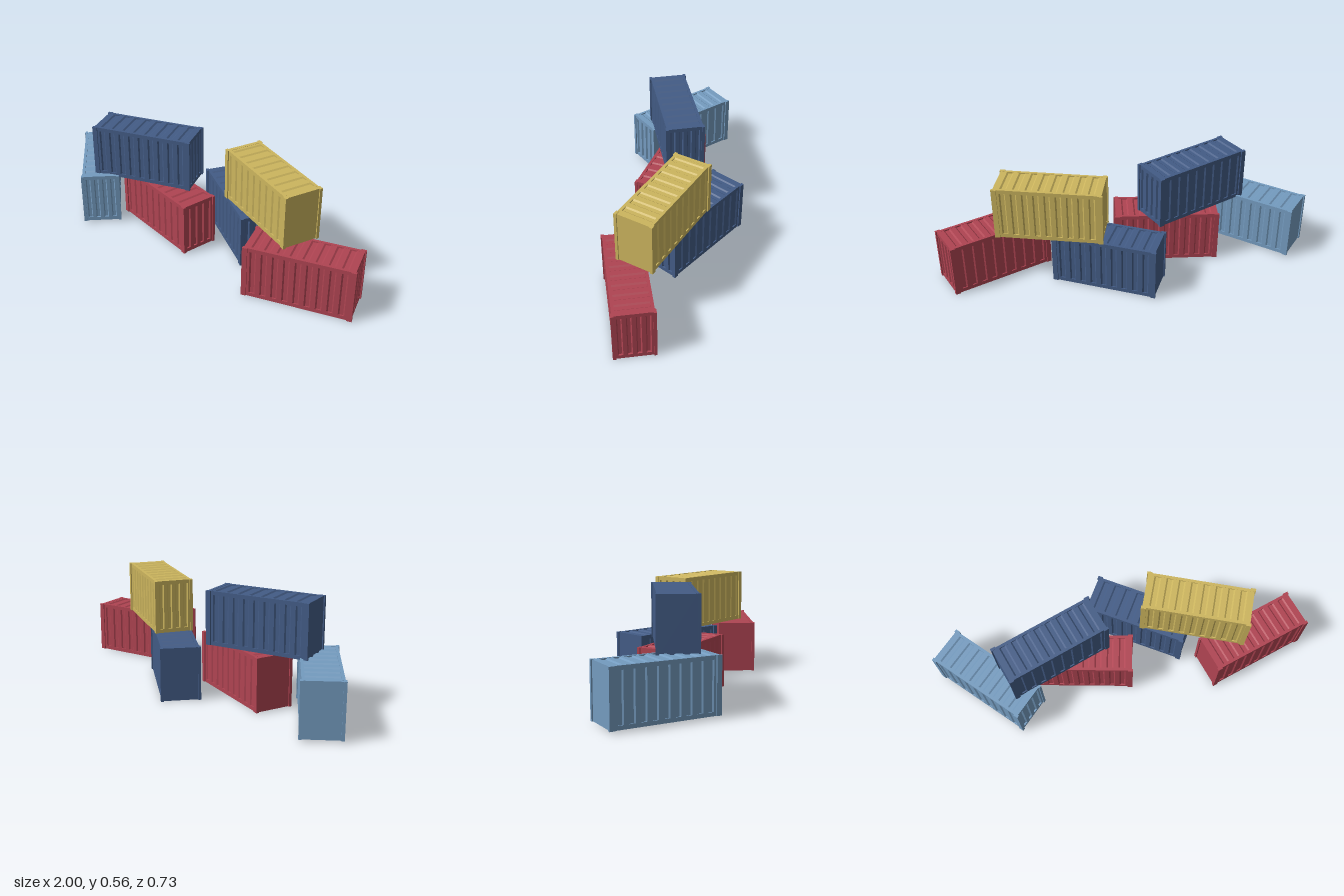
import * as THREE from 'three';

const L = 0.556, W = 0.206, H = 0.28; // overall container size
const EAR = 0.006;                    // how far corner posts stand proud
const RAIL = 0.02, POST_X = 0.026, POST_Z = 0.015;

const colours = {
  red: new THREE.MeshStandardMaterial({ name: 'red paint', color: 0xaf4452 }),
  navy: new THREE.MeshStandardMaterial({ name: 'navy paint', color: 0x435c86 }),
  sky: new THREE.MeshStandardMaterial({ name: 'light blue paint', color: 0x749bbf }),
  yellow: new THREE.MeshStandardMaterial({ name: 'yellow paint', color: 0xccb55e }),
};

// Trapezoid sheet: runs along x, ribs point to +y (crests at y = 0), extruded along z
function corrugated(length, span, grooves, depth) {
  const s = new THREE.Shape(), p = length / grooves;
  s.moveTo(-length / 2, -0.025);
  s.lineTo(length / 2, -0.025);
  s.lineTo(length / 2, 0);
  for (let i = grooves - 1; i >= 0; i--) {
    const x = -length / 2 + i * p;
    s.lineTo(x + p * 0.78, 0);
    s.lineTo(x + p * 0.66, -depth);
    s.lineTo(x + p * 0.34, -depth);
    s.lineTo(x + p * 0.22, 0);
  }
  s.lineTo(-length / 2, 0);
  return new THREE.ExtrudeGeometry(s, { depth: span, bevelEnabled: false }).translate(0, 0, -span / 2);
}

function createContainer(name, material) {
  const g = new THREE.Group();
  g.name = name;
  const add = (part, geo, x = 0, y = 0, z = 0) => {
    const m = new THREE.Mesh(geo, material);
    m.name = part;
    m.position.set(x, y, z);
    g.add(m);
  };
  const box = (part, w, h, d, x, y, z) => add(part, new THREE.BoxGeometry(w, h, d), x, y, z);

  const zSide = W / 2 - EAR, xEnd = L / 2 - EAR;
  const innerL = L - 2 * POST_X, innerW = W - 2 * POST_Z, innerH = H - 2 * RAIL;

  // Floor
  box('floor', L - 0.03, 0.015, W - 0.03, 0, 0.011, 0);

  // Corner posts
  for (const sx of [-1, 1]) for (const sz of [-1, 1])
    box('cornerPost', POST_X, H, POST_Z, sx * (L - POST_X) / 2, H / 2, sz * (W - POST_Z) / 2);

  // Long side rails and corrugated walls
  for (const s of [-1, 1]) {
    for (const y of [RAIL / 2, H - RAIL / 2])
      box('sideRail', innerL, RAIL, 0.015, 0, y, s * (zSide - 0.0075));
    const wall = corrugated(innerL, innerH, 9, 0.006).rotateX(-Math.PI / 2);
    if (s > 0) wall.rotateY(Math.PI);
    add('sideWall', wall, 0, H / 2, s * zSide);
  }

  // Corrugated end with header and sill
  for (const y of [RAIL / 2, H - RAIL / 2])
    box('endRail', 0.02, RAIL, innerW, xEnd - 0.01, y, 0);
  add('corrugatedEnd', corrugated(innerW, innerH, 4, 0.009).rotateX(-Math.PI / 2).rotateY(-Math.PI / 2),
    xEnd, H / 2, 0);

  // Plain flat end
  box('flatEnd', 0.02, H - 0.002, innerW, -xEnd + 0.01, H / 2, 0);

  // Roof with cross ribs
  add('roof', corrugated(innerL, W - 2 * EAR - 0.03, 8, 0.006), 0, H - 0.001, 0);
  return g;
}

export function createModel() {
  const model = new THREE.Group();
  model.name = 'containerStack';
  // name, colour, x, y, z, turn in degrees
  const layout = [
    ['skyContainer', 'sky', -0.723, 0.009, 0.104, -42],
    ['redContainerLeft', 'red', -0.225, 0, 0.057, -8.4],
    ['navyContainerGround', 'navy', 0.123, 0, -0.145, -28.3],
    ['redContainerRight', 'red', 0.702, 0, 0.06, 21],
    ['navyContainerTop', 'navy', -0.364, H, 0.063, 22.8],
    ['yellowContainerTop', 'yellow', 0.4, H, -0.049, 162],
  ];
  for (const [name, colour, x, y, z, turn] of layout) {
    const c = createContainer(name, colours[colour]);
    c.position.set(x, y, z);
    c.rotation.y = THREE.MathUtils.degToRad(turn);
    model.add(c);
  }
  return model;
}
